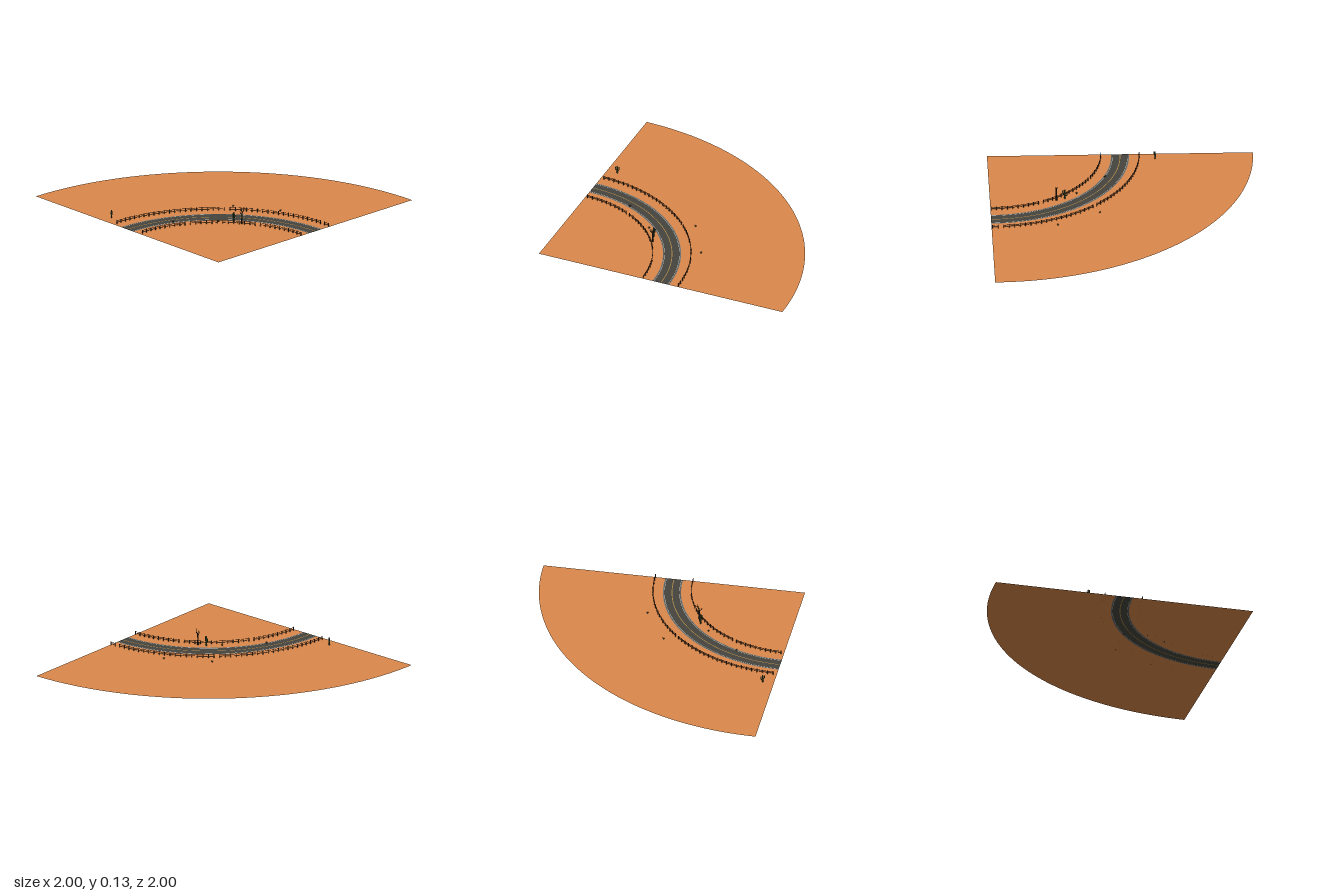
import * as THREE from 'three';

const mat = (color) => new THREE.MeshStandardMaterial({ color, side: THREE.DoubleSide });
const sand = mat(0xdb884a), asphalt = mat(0x45443e), shoulder = mat(0x6b7478), white = mat(0xc9cdc8);
const yellow = mat(0xb08a45), wood = mat(0x4a2f1e), bark = mat(0x2e2318), green = mat(0x3d5230);
for (const m of [wood, bark, green]) m.flatShading = true;

// All arcs share this corner as their centre
const CX = -1, CZ = 1;
const onArc = (r, a, y = 0) => new THREE.Vector3(CX + r * Math.cos(a), y, CZ - r * Math.sin(a));

function add(parent, name, geometry, material) {
  const mesh = new THREE.Mesh(geometry, material);
  mesh.name = name;
  parent.add(mesh);
  return mesh;
}

// Flat quarter ring lying on the ground
function band(parent, name, inner, outer, material) {
  const g = new THREE.RingGeometry(inner, outer, 72, 1, 0, Math.PI / 2);
  g.rotateX(-Math.PI / 2).translate(CX, 0, CZ);
  return add(parent, name, g, material);
}

// Tapered stick between two points
function stick(parent, name, a, b, r0, r1, material, sides = 6) {
  const dir = b.clone().sub(a);
  const mesh = add(parent, name, new THREE.CylinderGeometry(r1, r0, dir.length(), sides), material);
  mesh.position.copy(a).add(b).multiplyScalar(0.5);
  mesh.quaternion.setFromUnitVectors(new THREE.Vector3(0, 1, 0), dir.normalize());
  return mesh;
}

function makeFence(radius, count, gaps) {
  const fence = new THREE.Group();
  fence.name = 'fence';
  const a0 = 0.006, a1 = Math.PI / 2 - 0.025;
  const at = (i) => a0 + (a1 - a0) * i / count;
  for (let i = 0; i <= count; i++) {
    const post = add(fence, 'fencePost', new THREE.BoxGeometry(0.005, 0.029, 0.005), wood);
    post.position.copy(onArc(radius, at(i), 0.0145));
    post.rotation.y = at(i);
    post.rotation.z = 0.05 * Math.sin(i * 2.3);
    if (i === count || gaps.includes(i)) continue;
    for (const y of [0.013, 0.024]) {
      const sag = 0.0015 * Math.sin(i * 1.7 + y * 90);
      stick(fence, 'fenceRail', onArc(radius, at(i), y + sag), onArc(radius, at(i + 1), y - sag), 0.0018, 0.0018, wood, 4);
    }
  }
  return fence;
}

// Column cactus with two bent arms
function makeCactus(height, turn) {
  const cactus = new THREE.Group();
  cactus.name = 'cactus';
  const r = height * 0.075;
  const trunk = add(cactus, 'cactusTrunk', new THREE.CapsuleGeometry(r, height - 2 * r, 3, 8), green);
  trunk.position.y = height / 2;
  for (const [side, low, high] of [[1, 0.38, 0.78], [-1, 0.5, 0.86]]) {
    const reach = side * height * 0.21;
    const path = new THREE.CatmullRomCurve3([
      new THREE.Vector3(0, low * height, 0),
      new THREE.Vector3(reach * 0.8, (low + 0.02) * height, 0),
      new THREE.Vector3(reach, (low + 0.12) * height, 0),
      new THREE.Vector3(reach, high * height, 0)]);
    add(cactus, 'cactusArm', new THREE.TubeGeometry(path, 10, r * 0.7, 6), green);
    const tip = add(cactus, 'cactusArmTip', new THREE.SphereGeometry(r * 0.7, 6, 4), green);
    tip.position.set(reach, high * height, 0);
  }
  cactus.rotation.y = turn;
  return cactus;
}

// Low clump of spiky leaves
function makeShrub() {
  const shrub = new THREE.Group();
  shrub.name = 'shrub';
  for (let i = 0; i < 7; i++) {
    const a = i * Math.PI * 2 / 7;
    const tip = new THREE.Vector3(0.008 * Math.cos(a), 0.011 + 0.003 * (i % 2), 0.008 * Math.sin(a));
    stick(shrub, 'shrubLeaf', new THREE.Vector3(), tip, 0.0028, 0.0004, green, 5);
  }
  return shrub;
}

function makeTree() {
  const tree = new THREE.Group();
  tree.name = 'deadTree';
  // from, to, start radius, end radius
  const limbs = [
    [[0, 0, 0], [0.001, 0.05, 0], 0.007, 0.005],
    [[0.001, 0.05, 0], [0.003, 0.084, 0.001], 0.005, 0.004],
    [[0.003, 0.084, 0.001], [0.016, 0.105, 0.004], 0.004, 0.0025],
    [[0.016, 0.105, 0.004], [0.012, 0.13, 0.008], 0.0025, 0.001],
    [[0.016, 0.105, 0.004], [0.033, 0.118, -0.008], 0.0025, 0.001],
    [[0.003, 0.084, 0.001], [0.004, 0.122, -0.009], 0.0032, 0.001],
    [[0.002, 0.07, 0], [-0.015, 0.088, 0.002], 0.0035, 0.002],
    [[-0.015, 0.088, 0.002], [-0.026, 0.092, 0.005], 0.002, 0.001],
    [[-0.015, 0.088, 0.002], [-0.018, 0.104, -0.004], 0.002, 0.001]];
  for (const [a, b, r0, r1] of limbs)
    stick(tree, 'treeLimb', new THREE.Vector3(...a), new THREE.Vector3(...b), r0, r1, bark);
  return tree;
}

export function createModel() {
  const model = new THREE.Group();
  model.name = 'desertRoadCurve';

  // Ground and road as neighbouring rings
  band(model, 'innerGround', 0, 0.932, sand);
  band(model, 'outerGround', 1.068, 2, sand);
  const road = [
    ['roadShoulder', 0.938, shoulder], ['roadSurface', 0.942, asphalt], ['edgeLine', 0.945, white],
    ['roadSurface', 0.997, asphalt], ['centreLine', 1.003, yellow], ['roadSurface', 1.055, asphalt],
    ['edgeLine', 1.058, white], ['roadSurface', 1.062, asphalt], ['roadShoulder', 1.068, shoulder]];
  let inner = 0.932;
  for (const [name, outer, material] of road) {
    band(model, name, inner, outer, material);
    inner = outer;
  }

  // Fences on both sides, with a few missing rails
  model.add(makeFence(0.855, 32, [9, 22]), makeFence(1.143, 42, [1, 20]));

  // Plants
  const place = (part, x, z) => {
    part.position.set(x, 0, z);
    model.add(part);
  };
  place(makeCactus(0.064, 0.5), -0.915, -0.26);
  place(makeCactus(0.08, 1.2), -0.308, 0.435);
  place(makeTree(), -0.287, 0.5);
  for (const [x, z] of [[-0.64, 0.125], [-0.385, 0.345], [-0.075, 0.18], [0.11, 0.5]]) place(makeShrub(), x, z);
  return model;
}
